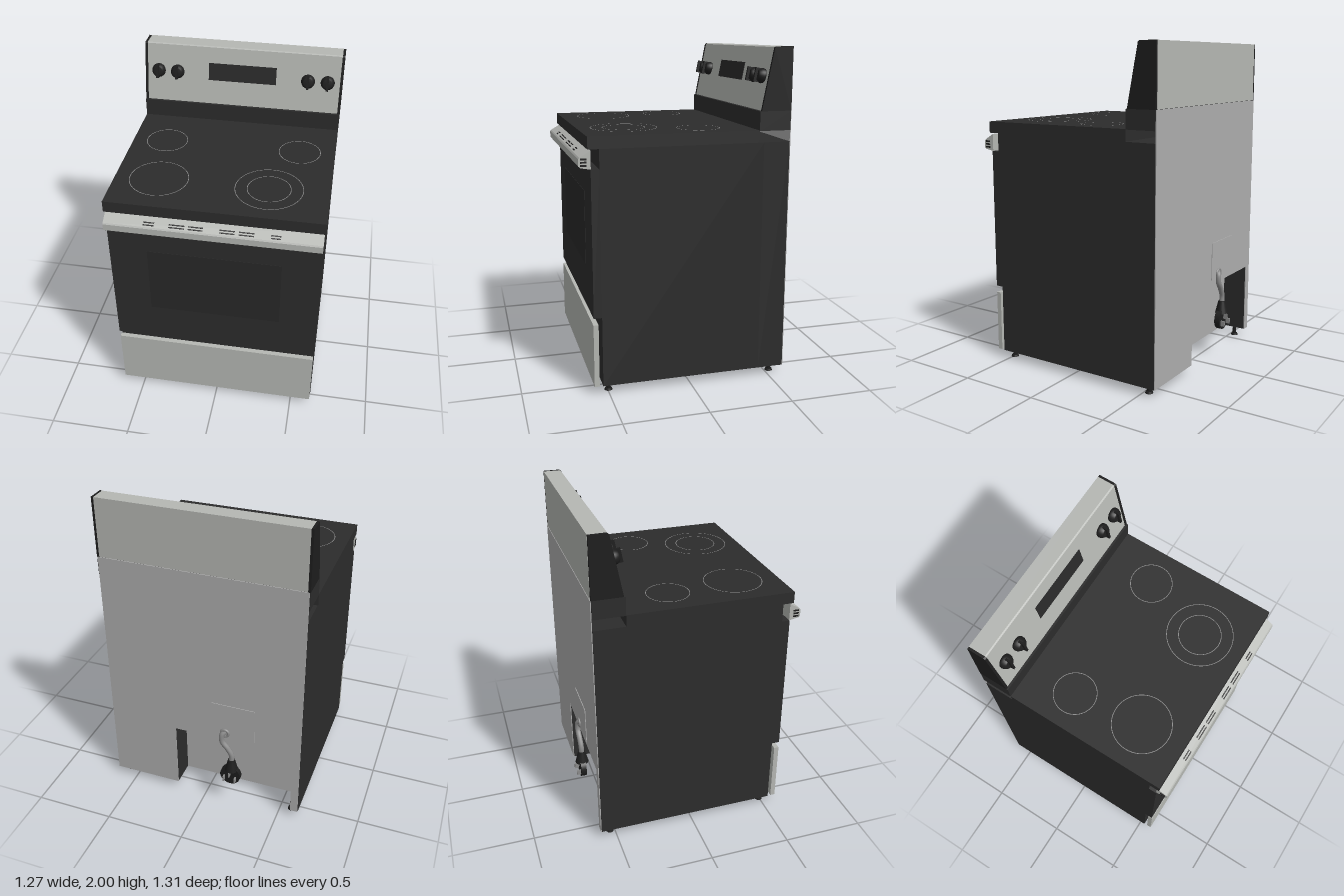
import * as THREE from 'three';

const mat = (name, color) => {
  const m = new THREE.MeshStandardMaterial({ color });
  m.name = name;
  return m;
};

export function createModel() {
  const root = new THREE.Group();
  root.name = 'kitchenRange';
  const steel = mat('brushedSteel', 0xb5b7b3);
  const zinc = mat('galvanizedBack', 0xadadad);
  const enamel = mat('darkEnamel', 0x2c2c2c);
  const black = mat('blackPlastic', 0x1e1e1e);
  const glass = mat('darkGlass', 0x292929);
  const line = mat('burnerMarking', 0x8c8c8c);

  const add = (name, geo, material, x = 0, y = 0, z = 0, parent = root) => {
    const m = new THREE.Mesh(geo, material);
    m.name = name;
    m.position.set(x, y, z);
    parent.add(m);
    return m;
  };
  // Box given by its limits on each axis
  const block = (name, material, [x0, x1], [y0, y1], [z0, z1], parent = root) =>
    add(name, new THREE.BoxGeometry(x1 - x0, y1 - y0, z1 - z0), material,
      (x0 + x1) / 2, (y0 + y1) / 2, (z0 + z1) / 2, parent);
  const outline = (pts) => new THREE.Shape(pts.map((p) => new THREE.Vector2(...p)));
  // Profile of [z, y] points swept along x
  const prism = (name, material, pts, width, x = 0) => {
    const g = new THREE.ExtrudeGeometry(outline(pts), { depth: width, bevelEnabled: false });
    g.translate(0, 0, -width / 2).rotateY(-Math.PI / 2);
    return add(name, g, material, x);
  };
  // Upright slab with the service recess cut out of its lower edge
  const notchedSlab = (name, material, w, top, z0, z1) => {
    const s = outline([[-w, 0.05], [-0.58, 0.05], [-0.58, 0.5], [0.19, 0.5],
      [0.19, 0.05], [w, 0.05], [w, top], [-w, top]]);
    add(name, new THREE.ExtrudeGeometry(s, { depth: z1 - z0, bevelEnabled: false }), material, 0, 0, z0);
  };

  // Cabinet with recess at the back
  block('cabinet', enamel, [-0.63, 0.63], [0.05, 1.455], [-0.435, 0.535]);
  notchedSlab('cabinetRear', enamel, 0.63, 1.455, -0.595, -0.435);
  notchedSlab('backPanel', zinc, 0.628, 1.635, -0.6, -0.595);
  block('recessPanel', zinc, [-0.579, 0.189], [0.05, 0.5], [-0.44, -0.434]);

  // Cooktop and burner markings
  block('cooktop', enamel, [-0.633, 0.633], [1.455, 1.525], [-0.405, 0.6]);
  for (const [x, z, r] of [[-0.42, -0.1, 0.127], [0.416, -0.1, 0.127],
    [-0.37, 0.322, 0.174], [0.281, 0.322, 0.198], [0.281, 0.322, 0.127]]) {
    add('burnerRing', new THREE.RingGeometry(r - 0.002, r + 0.002, 72).rotateX(-Math.PI / 2),
      line, x, 1.5265, z);
  }

  // Backguard: base, sloped steel panel and end caps
  block('backguardBase', enamel, [-0.633, 0.633], [1.522, 1.635], [-0.595, -0.405]);
  prism('backguardPanel', steel,
    [[-0.598, 1.637], [-0.418, 1.637], [-0.488, 1.995], [-0.496, 2], [-0.598, 2]], 1.236);
  for (const s of [-1, 1]) {
    prism('backguardEndCap', black,
      [[-0.597, 1.635], [-0.414, 1.635], [-0.484, 1.993], [-0.494, 2], [-0.597, 2]], 0.016, s * 0.625);
  }

  // Controls lie on the sloped face: local z is its normal
  const controls = new THREE.Group();
  controls.name = 'controls';
  controls.position.set(0, 1.83, -0.4557);
  controls.rotation.x = -Math.atan2(0.07, 0.358);
  root.add(controls);
  block('displayWindow', glass, [-0.218, 0.215], [-0.042, 0.068], [-0.002, 0.003], controls);
  const knobProfile = [[0, 0], [0.042, 0], [0.044, 0.008], [0.042, 0.022], [0.032, 0.038], [0.028, 0.042], [0, 0.042]]
    .map((p) => new THREE.Vector2(...p));
  for (const x of [-0.543, -0.42, 0.417, 0.54]) {
    const knob = new THREE.Group();
    knob.name = 'knob';
    knob.position.x = x;
    controls.add(knob);
    add('knobBody', new THREE.LatheGeometry(knobProfile, 28).rotateX(Math.PI / 2), black, 0, 0, 0, knob);
    block('knobGrip', black, [-0.007, 0.007], [-0.041, 0.041], [0.01, 0.058], knob);
  }

  // Oven door and window
  block('ovenDoor', enamel, [-0.63, 0.63], [0.475, 1.342], [0.535, 0.584]);
  block('ovenWindow', glass, [-0.4, 0.4], [0.73, 1.18], [0.582, 0.586]);

  // Vented steel handle rail
  prism('handleRail', steel,
    [[0.582, 1.342], [0.64, 1.352], [0.651, 1.362], [0.651, 1.402], [0.645, 1.41], [0.582, 1.448]], 1.252);
  const tilt = Math.atan2(0.038, 0.063);
  for (const [x0, x1] of [[-0.395, -0.33], [-0.246, -0.155], [-0.136, -0.05],
    [0.045, 0.13], [0.154, 0.24], [0.334, 0.39]]) {
    for (const z of [0.62, 0.634]) {
      const y = 1.448 - (z - 0.582) * 0.603;
      add('ventSlot', new THREE.BoxGeometry(x1 - x0, 0.003, 0.007), black, (x0 + x1) / 2, y, z).rotation.x = tilt;
    }
  }
  for (const s of [-1, 1]) for (const y of [1.365, 1.383, 1.401]) {
    add('endSlot', new THREE.BoxGeometry(0.004, 0.01, 0.034), black, s * 0.626, y, 0.623);
  }

  // Storage drawer
  block('drawerFront', steel, [-0.627, 0.627], [0.05, 0.432], [0.556, 0.586]);

  // Levelling feet
  for (const x of [-0.573, 0.573]) for (const z of [0.495, -0.53]) {
    add('footStem', new THREE.CylinderGeometry(0.012, 0.012, 0.05, 12), black, x, 0.03, z);
    add('footPad', new THREE.CylinderGeometry(0.02, 0.024, 0.012, 16), black, x, 0.006, z);
  }

  // Power cord with cover plate and plug
  block('terminalCover', zinc, [-0.335, -0.055], [0.53, 0.77], [-0.604, -0.6]);
  const path = new THREE.CatmullRomCurve3([[-0.15, 0.57, -0.598], [-0.13, 0.55, -0.613], [-0.13, 0.5, -0.616],
    [-0.165, 0.45, -0.614], [-0.19, 0.4, -0.612], [-0.19, 0.34, -0.612]].map((p) => new THREE.Vector3(...p)));
  add('powerCord', new THREE.TubeGeometry(path, 40, 0.017, 12), line);
  add('cordInlet', new THREE.TorusGeometry(0.024, 0.009, 10, 24), line, -0.145, 0.56, -0.606);
  add('plugNeck', new THREE.CylinderGeometry(0.022, 0.042, 0.08, 20), black, -0.19, 0.325, -0.612);
  add('plugBody', new THREE.CylinderGeometry(0.066, 0.066, 0.034, 28).rotateX(Math.PI / 2),
    black, -0.185, 0.245, -0.612);
  for (const [x, y] of [[-0.222, 0.225], [-0.148, 0.225], [-0.185, 0.265]]) {
    add('plugProng', new THREE.BoxGeometry(0.008, 0.035, 0.03), line, x, y, -0.64);
  }
  return root;
}
